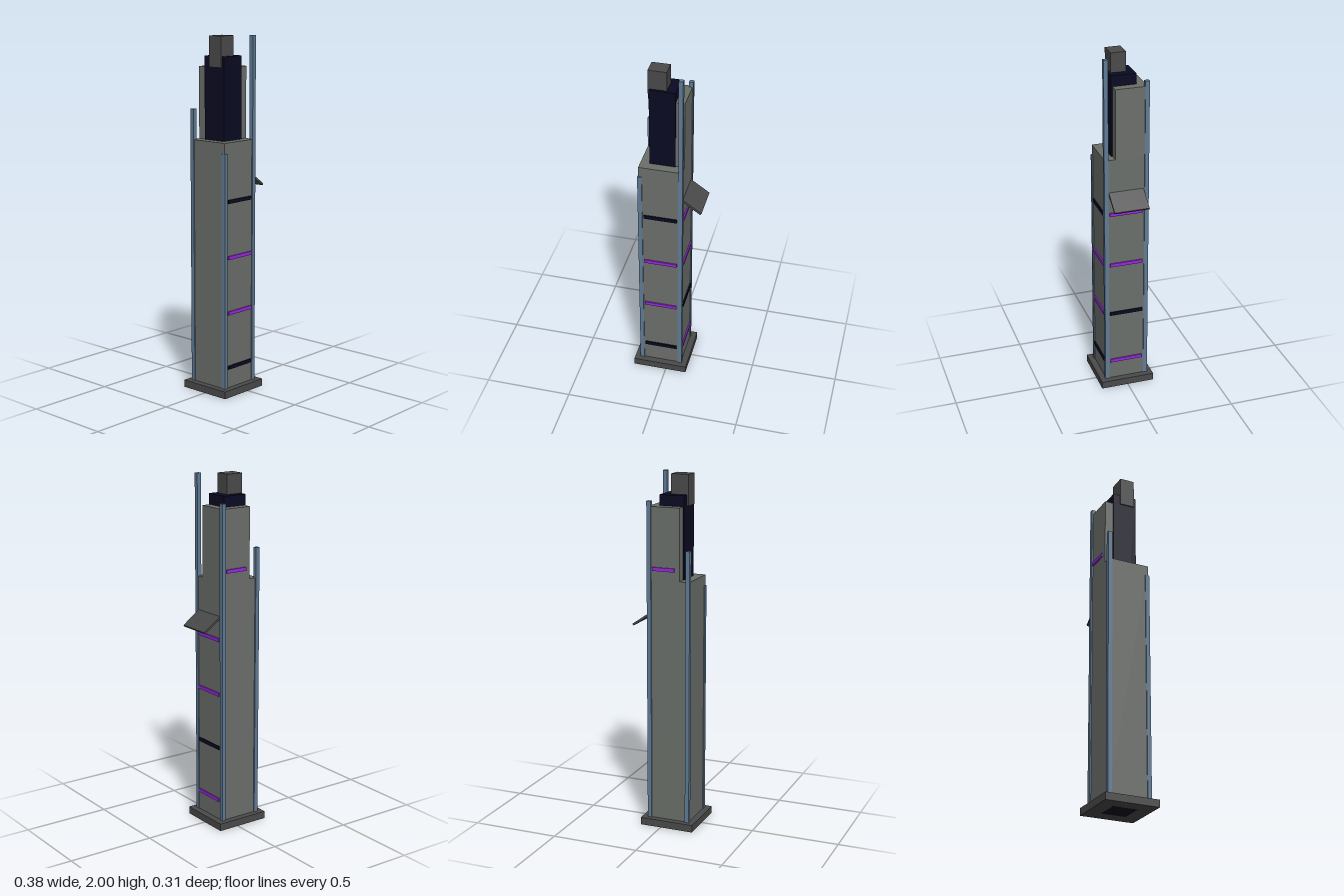
import * as THREE from 'three';

const material = (name, color) => {
  const m = new THREE.MeshStandardMaterial({ color });
  m.name = name;
  return m;
};

export function createModel() {
  const tower = new THREE.Group();
  tower.name = 'tower';

  const stone = material('stone grey', 0x6b6f6a);
  const dark = material('dark grey', 0x4a4a4a);
  const steel = material('steel blue', 0x607b96);
  const navy = material('midnight navy', 0x0a0a23);
  const purple = material('neon purple', 0x9628dc);

  // Box given by its minimum and maximum along each axis
  const block = (name, mat, [x0, x1], [y0, y1], [z0, z1]) => {
    const mesh = new THREE.Mesh(new THREE.BoxGeometry(x1 - x0, y1 - y0, z1 - z0), mat);
    mesh.position.set((x0 + x1) / 2, (y0 + y1) / 2, (z0 + z1) / 2);
    mesh.name = name;
    tower.add(mesh);
    return mesh;
  };

  // Plinth, stepped shaft, core and rooftop unit
  block('plinth', dark, [-0.193, 0.122], [0, 0.042], [-0.157, 0.157]);
  block('lowerShaft', stone, [-0.157, 0.085], [0.042, 1.43], [-0.121, 0.121]);
  block('upperShaft', stone, [-0.1, 0.085], [1.43, 1.83], [-0.121, 0.062]);
  block('core', navy, [-0.107, 0.036], [-0.0005, 1.89], [-0.072, 0.07]);
  block('rooftopUnit', dark, [-0.115, -0.013], [1.83, 2], [-0.03, 0.056]);

  // Corner posts of uneven height
  const half = 0.012;
  for (const [x, z, top] of [
    [-0.15, 0.115, 1.37],
    [0.078, 0.115, 2],
    [-0.15, -0.117, 1.6],
    [0.078, -0.117, 1.86],
  ]) {
    block('cornerPost', steel, [x - half, x + half], [0.001, top], [z - half, z + half]);
  }

  // Light strips on the front and left faces
  const frontColours = [navy, purple, purple, navy];
  const sideColours = [purple, navy, purple, purple];
  for (let i = 0; i < 4; i++) {
    const y = 0.16 + i * 0.315;
    const span = [y - 0.01, y + 0.01];
    block('frontStrip', frontColours[i], [-0.13, 0.058], span, [0.12, 0.129]);
    block('sideStrip', sideColours[i], [0.084, 0.093], span, [-0.096, 0.096]);
  }
  block('backStrip', purple, [-0.071, 0.058], [1.48, 1.5], [-0.13, -0.12]);

  // Sloping canopy
  const canopy = block('canopy', dark, [0.069, 0.201], [1.192, 1.204], [-0.1, 0.1]);
  canopy.position.x = 0.133;
  canopy.rotation.z = -0.61;

  return tower;
}
